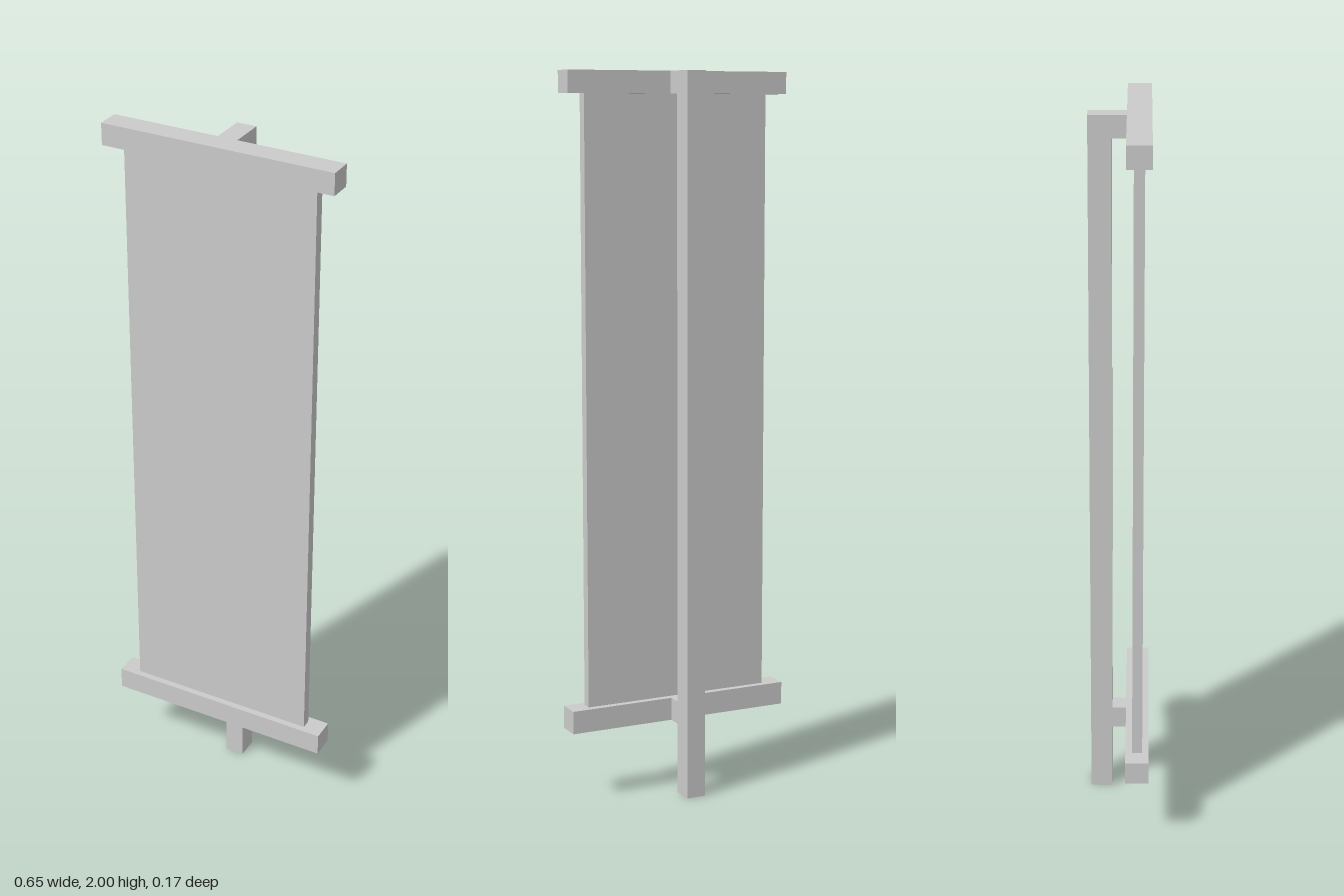
import * as THREE from 'three';

export function createModel() {
  const model = new THREE.Group();
  const material = new THREE.MeshStandardMaterial({ color: 0xcccccc, flatShading: true });

  // Box given by its full width and its y and z extents, centred on x = 0
  const addBox = (name, width, [y0, y1], [z0, z1]) => {
    const mesh = new THREE.Mesh(new THREE.BoxGeometry(width, y1 - y0, z1 - z0), material);
    mesh.position.set(0, (y0 + y1) / 2, (z0 + z1) / 2);
    mesh.name = name;
    model.add(mesh);
  };

  const poleWidth = 0.055;
  const poleFront = -0.021;
  const barBack = 0.018;
  const lower = [0.2, 0.264];
  const upper = [1.94, 2];

  // Upright pole at the back
  addBox('pole', poleWidth, [0, 2], [-0.083, poleFront]);

  // Crossbars, each joined to the pole by a short bracket
  for (const [side, height] of [['lower', lower], ['upper', upper]]) {
    addBox(side + 'Crossbar', 0.655, height, [barBack, 0.083]);
    addBox(side + 'Bracket', poleWidth, height, [poleFront, barBack]);
  }

  // Flat banner panel held between the crossbars
  addBox('bannerPanel', 0.546, [lower[1], upper[0]], [0.037, 0.065]);

  return model;
}
